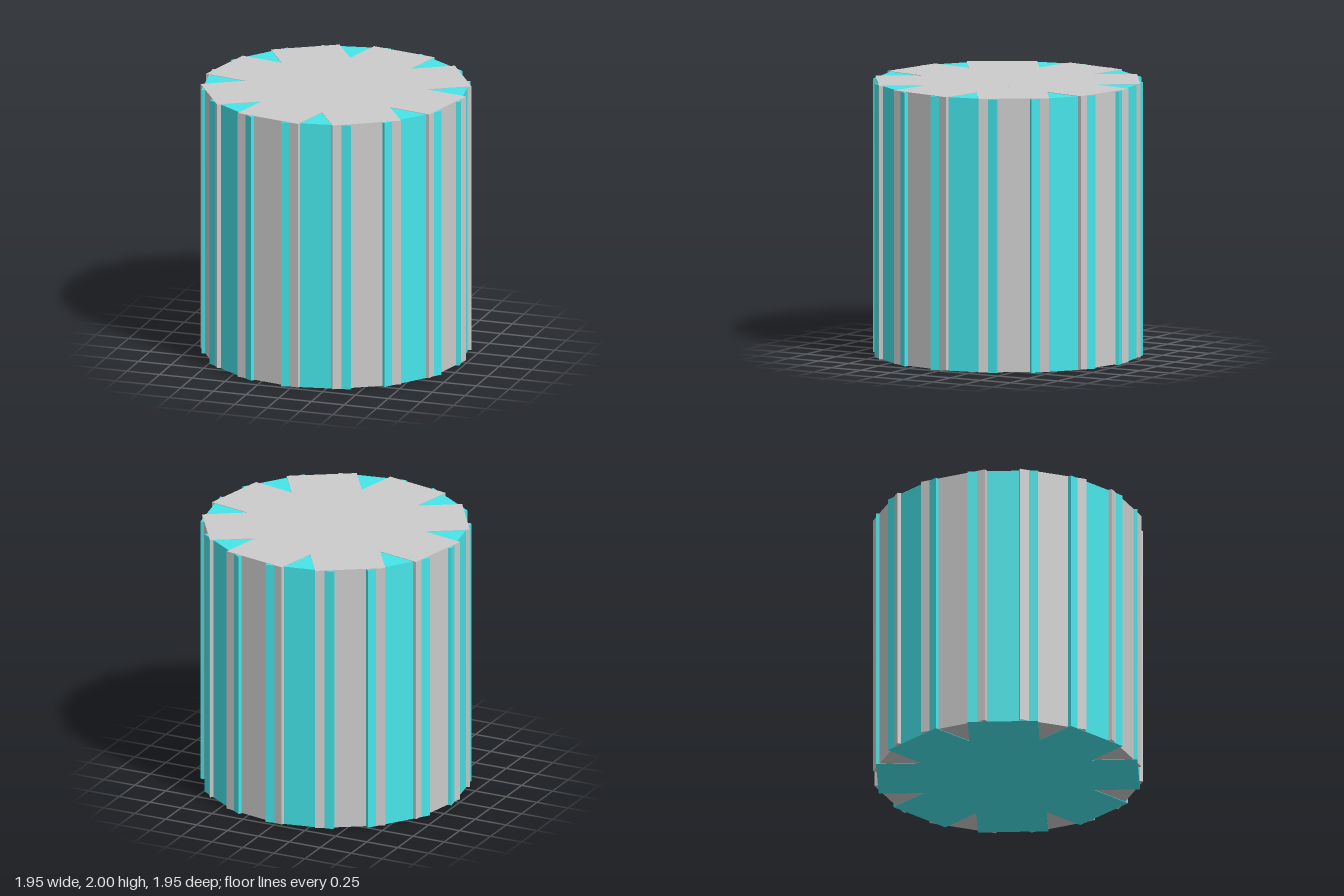
import * as THREE from 'three';

const deg = Math.PI / 180;
const LENGTH = 1.89, WIDTH = 0.51, HEIGHT = 1.997, STEP = 0.003;

// Four tall slabs crossing at the centre make an eight-armed star prism
function slabStar(name, color, startAngle, baseY) {
  const group = new THREE.Group();
  group.name = name;
  const geometry = new THREE.BoxGeometry(LENGTH, HEIGHT, WIDTH);
  const material = new THREE.MeshStandardMaterial({ color });
  for (let i = 0; i < 4; i++) {
    const slab = new THREE.Mesh(geometry, material);
    slab.name = `${name}Slab${i + 1}`;
    slab.position.y = baseY + HEIGHT / 2;
    slab.rotation.y = -(startAngle + i * 45) * deg;
    group.add(slab);
  }
  return group;
}

export function createModel() {
  const model = new THREE.Group();
  model.name = 'slabCylinder';
  // The grey star sits a hair higher, so it covers the top and the teal one the bottom
  model.add(slabStar('greyStar', 0xcccccc, 12.1, STEP));
  model.add(slabStar('tealStar', 0x46e6ea, -10.4, 0));
  return model;
}
